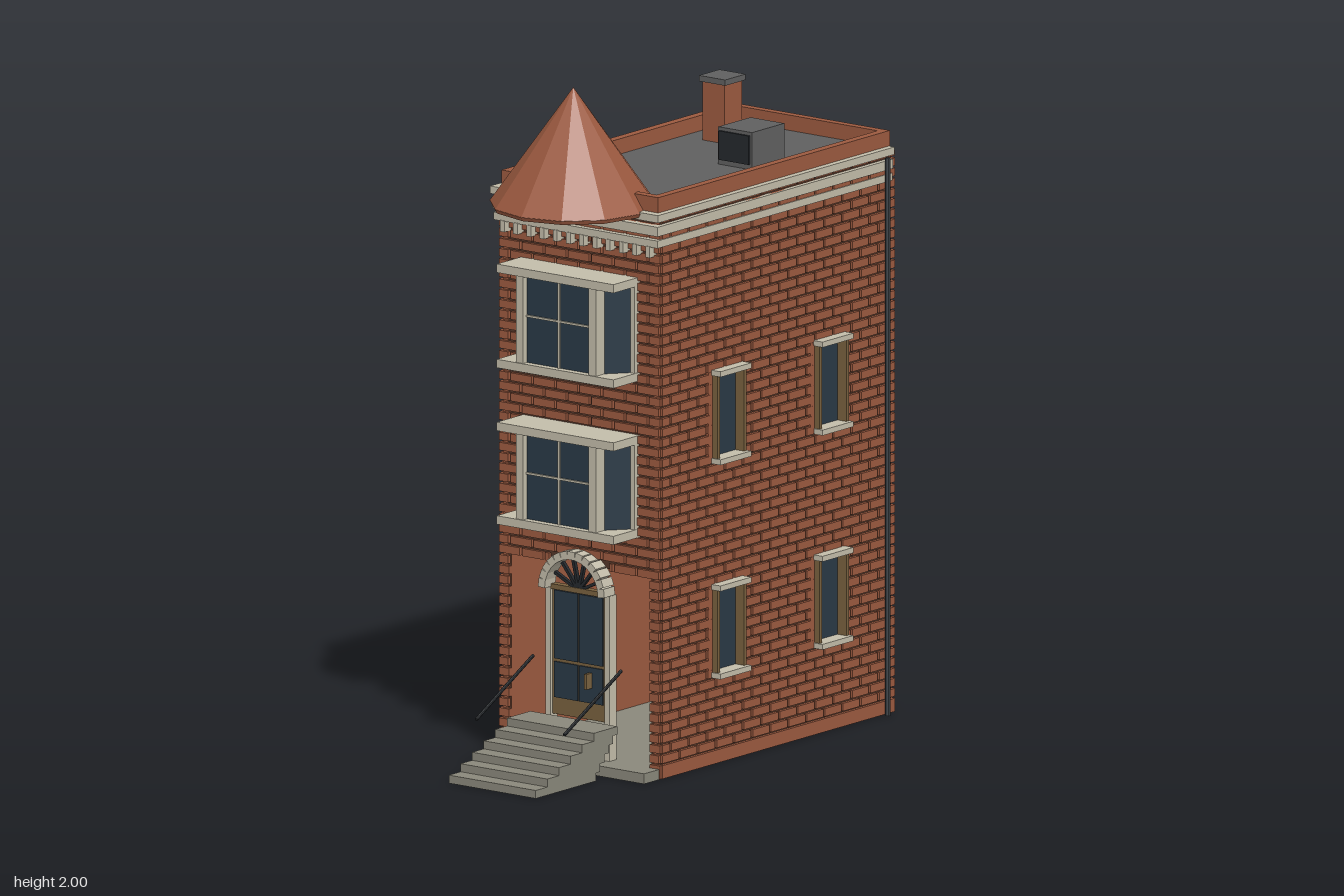
import * as THREE from 'three';
import { mergeGeometries } from 'three/addons/utils/BufferGeometryUtils.js';

const mat = (name, color) => Object.assign(new THREE.MeshStandardMaterial({ color, flatShading: true }), { name });

export function createModel() {
  const brick = mat('brick', 0x9c5a40), mortar = mat('mortar', 0x543729), stone = mat('pale stone', 0xc3bdaa);
  const step = mat('grey stone', 0x8a887b), glass = mat('dark glass', 0x2a3946), wood = mat('wood', 0x79613f);
  const iron = mat('iron', 0x24282c), roofing = mat('roofing', 0x606060), lead = mat('lead pipe', 0x42484d);
  const model = new THREE.Group();
  model.name = 'townhouse';

  const add = (name, geo, m, parent = model) => {
    const mesh = new THREE.Mesh(geo, m);
    mesh.name = name;
    parent.add(mesh);
    return mesh;
  };
  // Box given by its low and high limits on each axis
  const box = (name, m, x0, x1, y0, y1, z0, z1, parent = model) => {
    const mesh = add(name, new THREE.BoxGeometry(x1 - x0, y1 - y0, z1 - z0), m, parent);
    mesh.position.set((x0 + x1) / 2, (y0 + y1) / 2, (z0 + z1) / 2);
    return mesh;
  };
  const group = (name, parent = model) => {
    const g = new THREE.Group();
    g.name = name;
    parent.add(g);
    return g;
  };
  const points = list => list.map(p => new THREE.Vector2(...p));
  const rect = (a, b, c, d) => points([[a, c], [b, c], [b, d], [a, d]]);

  // Running-bond bricks above a solid base course, leaving out the rectangles [u0, u1, v0, v1]
  const PITCH = 0.03, LENGTH = 0.084, BASE = 0.04, TOP = 1.65, DEEP = 0.02;
  const bricks = (w, holes, parent) => {
    const parts = [];
    const course = (v0, v1, length, shift, gap) => {
      const vm = (v0 + v1) / 2;
      const cuts = holes.filter(h => vm > h[2] && vm < h[3]);
      for (let u = -w / 2 - shift; u < w / 2; u += length) {
        let spans = [[Math.max(u, -w / 2), Math.min(u + length - gap, w / 2)]];
        for (const [a, b] of cuts)
          spans = spans.flatMap(([p, q]) => [[p, Math.min(q, a)], [Math.max(p, b), q]]);
        for (const [p, q] of spans) if (q - p > 0.006)
          parts.push(new THREE.BoxGeometry(q - p, v1 - v0, 0.012).translate((p + q) / 2, vm, 0.004));
      }
    };
    course(0.001, BASE, w, 0, 0);
    for (let row = 0, v = BASE + 0.006; v < TOP - 0.01; row++, v += PITCH)
      course(v, Math.min(v + PITCH - 0.007, TOP), LENGTH, (row % 2) * LENGTH / 2, 0.008);
    add('bricks', mergeGeometries(parts), brick, parent);
  };
  // A mortar wall with brick reveals, faced with bricks, in its own local frame
  const wall = (name, x, z, angle, w, outline, windows, gaps) => {
    const g = group(name), shape = new THREE.Shape(outline);
    g.position.set(x, 0, z);
    g.rotation.y = angle;
    shape.holes = windows.map(h => new THREE.Path(rect(...h)));
    add('mortarBed', new THREE.ExtrudeGeometry(shape, { depth: DEEP, bevelEnabled: false }), [mortar, brick], g)
      .position.z = -DEEP;
    bricks(w, [...windows, ...gaps], g);
    return g;
  };

  // Hollow shell: floor slab, inner faces and roof
  const FRONT = 0.335, BACK = -0.74, MID = (FRONT + BACK) / 2, LONG = FRONT - BACK;
  box('floorSlab', step, -0.285, 0.285, 0, 0.03, BACK, FRONT);
  box('frontPlinth', step, -0.29, 0.29, 0, 0.03, FRONT, 0.415);
  for (const s of [-1, 1])
    box('innerSideWall', brick, s * 0.261 - 0.004, s * 0.261 + 0.004, 0.002, TOP, BACK + 0.005, FRONT - DEEP);
  box('innerBackWall', brick, -0.265, 0.265, 0.002, TOP, BACK + DEEP, BACK + DEEP + 0.008);
  box('roofDeck', roofing, -0.28, 0.28, TOP, 1.665, BACK + 0.01, FRONT);

  // Side walls, each with four framed windows
  const openings = [-0.2375, 0.2375].flatMap(u => [0.26, 0.89].map(v => [u - 0.068, u + 0.068, v, v + 0.265]));
  for (const s of [-1, 1]) {
    const g = wall(s > 0 ? 'leftWall' : 'rightWall', 0.285 * s, MID, s * Math.PI / 2, LONG,
      rect(-LONG / 2, LONG / 2, 0.002, TOP), openings, []);
    for (const [a, b, c, d] of openings) {
      const win = group('sideWindow', g);
      box('pane', glass, a + 0.008, b - 0.008, c, d, -0.016, -0.004, win);
      box('sill', stone, a - 0.004, b + 0.004, c - 0.004, c + 0.012, -0.01, 0.042, win);
      box('lintel', stone, a - 0.004, b + 0.004, d - 0.01, d + 0.006, -0.01, 0.042, win);
      for (const [p, q] of [[a, a + 0.012], [b - 0.012, b]])
        box('jamb', wood, p, q, c + 0.012, d - 0.01, -0.01, 0.028, win);
      for (const u of [a - 0.009, b + 0.009])
        box('brickSurround', brick, u - 0.009, u + 0.009, c, d, 0, 0.0095, win);
    }
    const pipe = add('drainpipe', new THREE.CylinderGeometry(0.008, 0.008, 1.64, 8), lead);
    pipe.position.set(0.309 * s, 0.82, -0.695);
  }

  // Back wall with two plain recessed windows
  const backOpenings = [0.265, 0.895].map(v => [-0.093, 0.093, v, v + 0.27]);
  const back = wall('backWall', 0, BACK, Math.PI, 0.585, rect(-0.28, 0.28, 0.002, TOP), backOpenings, []);
  for (const [a, b, c, d] of backOpenings)
    box('backWindowPane', glass, a, b, c, d, -0.019, -0.012, back);

  // Front wall, open around the entrance, and canted bay windows
  const face = points([[-0.28, 0.002], [-0.255, 0.002], [-0.255, 0.59], [-0.07, 0.59], [-0.05, 0.61],
    [0.05, 0.61], [0.07, 0.59], [0.255, 0.59], [0.255, 0.002], [0.28, 0.002], [0.28, TOP], [-0.28, TOP]]);
  wall('frontWall', 0, FRONT, 0, 0.585, face, [], [[-0.255, 0.255, -1, 0.59], [-0.11, 0.11, 0.55, 0.625],
    [-0.205, 0.205, 0.71, 0.99], [-0.205, 0.205, 1.17, 1.46]]);
  for (const [y0, y1] of [[0.7, 1.0], [1.16, 1.465]]) {
    const bay = group('bayWindow'), a = y0 + 0.025, b = y1 - 0.025, m = (a + b) / 2 + 0.01;
    box('baySill', stone, -0.212, 0.212, y0, a, FRONT, 0.458, bay);
    box('bayHead', stone, -0.212, 0.212, b, y1, FRONT, 0.458, bay);
    box('centrePane', glass, -0.12, 0.12, a, b, 0.43, 0.436, bay);
    box('mullion', stone, -0.003, 0.003, a, b, 0.434, 0.442, bay);
    box('transom', stone, -0.12, 0.12, m - 0.003, m + 0.003, 0.434, 0.441, bay);
    for (const s of [-1, 1]) {
      const post = box('bayPost', stone, -0.013, 0.013, a, b, -0.021, 0.021, bay);
      post.position.set(0.132 * s, (a + b) / 2, 0.433);
      const end = box('bayEndPost', stone, -0.007, 0.007, a, b, -0.01, 0.01, bay);
      end.position.set(0.203 * s, (a + b) / 2, 0.347);
      const pane = box('cantedPane', glass, -0.043, 0.043, a, b, -0.003, 0.003, bay);
      pane.position.set(0.168 * s, (a + b) / 2, 0.382);
      pane.rotation.y = s * 0.87;
    }
  }

  // Entrance: glazed door, open fanlight and stone arch
  const door = group('entrance');
  box('doorLeaf', wood, -0.1, 0.1, 0.14, 0.515, 0.325, 0.345, door);
  for (const s of [-1, 1]) {
    const [p, q] = [s * 0.0455 - 0.0425, s * 0.0455 + 0.0425];
    box('doorGlass', glass, p, q, 0.304, 0.505, 0.344, 0.35, door);
    box('doorLowerGlass', glass, p, q, 0.19, 0.295, 0.344, 0.35, door);
    box('doorJamb', stone, s * 0.107 - 0.009, s * 0.107 + 0.009, 0.03, 0.515, 0.32, 0.354, door);
  }
  box('doorHandle', wood, 0.04, 0.05, 0.235, 0.28, 0.349, 0.375, door);
  box('doorTransom', wood, -0.1, 0.1, 0.508, 0.523, 0.33, 0.354, door);
  for (let i = 1; i < 7; i++) {
    const bar = add('fanlightBar', new THREE.BoxGeometry(0.098, 0.009, 0.012).translate(0.05, 0, 0), iron, door);
    bar.position.set(0, 0.515, 0.345);
    bar.rotation.z = i * Math.PI / 7;
  }
  for (let i = 0; i < 13; i++) {
    const t = (i + 0.5) * Math.PI / 13;
    const block = add('archStone', new THREE.BoxGeometry(0.024, 0.025, 0.05), stone, door);
    block.position.set(0.108 * Math.cos(t), 0.515 + 0.108 * Math.sin(t), 0.358);
    block.rotation.z = t;
  }

  // Front steps and sloping handrails
  for (let i = 0; i < 6; i++)
    box('step', step, -0.158, 0.158, i * 0.0237, (i + 1) * 0.0237, 0.47 - i * 0.02, 0.75 - i * 0.054);
  for (const s of [-1, 1]) {
    const rail = add('handrail', new THREE.CylinderGeometry(0.005, 0.005, 0.3, 8), iron);
    rail.position.set(0.16 * s, 0.233, 0.487);
    rail.rotation.x = Math.atan2(0.265, -0.14);
  }

  // Cornice bands on the front and sides, dentils on the front
  for (const [y0, y1, out] of [[1.566, 1.588, 0.013], [1.601, 1.629, 0.015], [1.643, 1.665, 0.02]]) {
    box('frontCornice', stone, -0.285 - out, 0.285 + out, y0, y1, FRONT - 0.01, FRONT + out + 0.015);
    for (const s of [-1, 1])
      box('sideCornice', stone, s * 0.28 - out - 0.005, s * 0.28 + out + 0.005, y0, y1, -0.73, FRONT);
  }
  for (let i = 0; i < 12; i++) {
    const x = -0.264 + i * 0.048;
    box('dentil', stone, x - 0.008, x + 0.008, 1.535, 1.568, FRONT, 0.366);
  }

  // Parapet and turret roof
  for (const s of [-1, 1])
    box('sideParapet', brick, s * 0.272 - 0.013, s * 0.272 + 0.013, TOP, 1.71, BACK + 0.005, 0.343);
  box('frontParapet', brick, -0.26, 0.26, TOP, 1.71, 0.316, 0.343);
  box('backParapet', brick, -0.26, 0.26, TOP, 1.71, BACK + 0.005, BACK + 0.03);
  add('turretRoof', new THREE.ConeGeometry(0.242, 0.34, 12), brick).position.set(0, 1.83, 0.373);
  add('turretEave', new THREE.CylinderGeometry(0.242, 0.236, 0.012, 12), brick).position.set(0, 1.655, 0.373);

  // Chimney and rooftop unit
  box('chimney', brick, -0.183, -0.102, 1.66, 1.84, -0.543, -0.462);
  box('chimneyCap', roofing, -0.19, -0.095, 1.838, 1.855, -0.55, -0.455);
  box('rooftopUnit', roofing, 0.04, 0.163, 1.66, 1.775, -0.4, -0.25);
  box('unitGrille', iron, 0.047, 0.156, 1.68, 1.765, -0.251, -0.243);
  return model;
}
